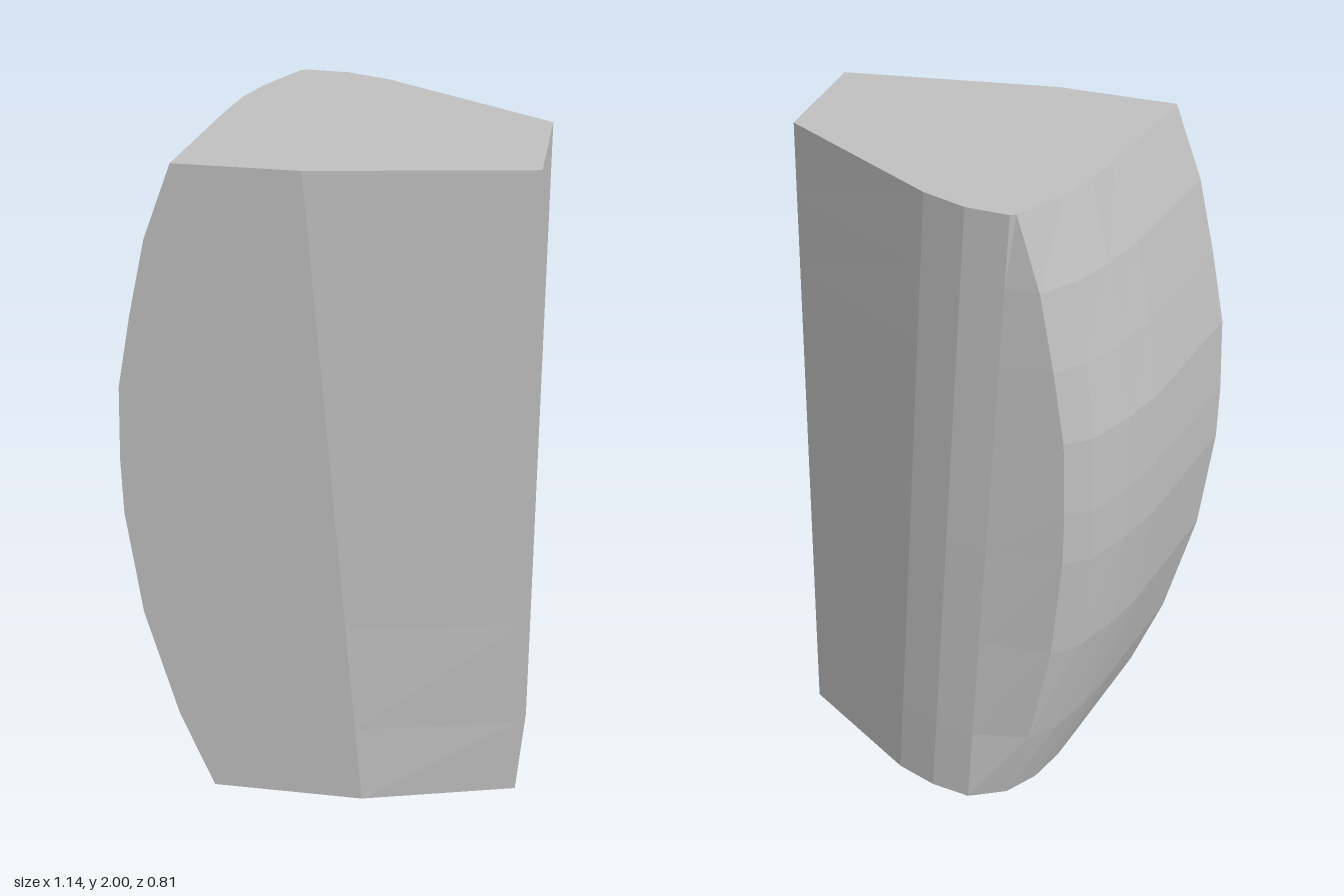
import * as THREE from 'three';

// Cross-sections as [x, z], running front-left corner -> back -> right -> front crease
const bottom = [[-0.33, 0.405], [-0.27, 0], [-0.25, -0.13], [-0.215, -0.25], [-0.155, -0.345],
  [-0.05, -0.405], [0.07, -0.39], [0.195, -0.345], [0.57, -0.108], [0.57, 0.28], [0.12, 0.405]];
const top = [[-0.395, 0.405], [-0.335, 0], [-0.31, -0.13], [-0.27, -0.24], [-0.19, -0.385],
  [-0.175, -0.395], [-0.05, -0.39], [0.08, -0.345], [0.57, -0.065], [0.57, 0.3], [-0.045, 0.405]];
// The bulging left side at its fullest
const bulge = [[-0.572, 0.405], [-0.505, -0.05], [-0.46, -0.2], [-0.4, -0.335], [-0.335, -0.39]];
// Height and x of the curved front-left edge
const edge = [[0, -0.33], [0.25, -0.43], [0.6, -0.525], [0.93, -0.568], [1.1, -0.572],
  [1.33, -0.565], [1.55, -0.525], [1.78, -0.475], [2, -0.395]];

const mix = (a, b, t) => a + (b - a) * t;

function section([y, x]) {
  const t = y / 2;
  const end = y < 1.1 ? bottom : top;
  const swell = (x - end[0][0]) / (bulge[0][0] - end[0][0]);
  return bottom.map((p, i) => {
    if (i < bulge.length) {
      return [mix(end[i][0], bulge[i][0], swell), y, mix(end[i][1], bulge[i][1], swell)];
    }
    // the right front corner swells slightly at mid height
    const extra = i === 9 ? 0.06 * t * (1 - t) : 0;
    return [mix(p[0], top[i][0], t), y, mix(p[1], top[i][1], t) + extra];
  });
}

function geometryFrom(triangles) {
  const geometry = new THREE.BufferGeometry();
  geometry.setAttribute('position', new THREE.Float32BufferAttribute(triangles.flat(), 3));
  geometry.computeVertexNormals();
  return geometry;
}

export function createModel() {
  const stone = new THREE.MeshStandardMaterial({ color: 0xc0c0c0, flatShading: true });
  stone.name = 'light grey';
  const group = new THREE.Group();
  group.name = 'curvedBlock';
  const add = (name, triangles) => {
    const mesh = new THREE.Mesh(geometryFrom(triangles), stone);
    mesh.name = name;
    group.add(mesh);
  };

  const rings = edge.map(section);
  const n = bottom.length;

  // Walls between neighbouring sections
  const walls = [];
  for (let k = 0; k < rings.length - 1; k++) {
    for (let i = 0; i < n; i++) {
      const j = (i + 1) % n;
      const a = rings[k][i], b = rings[k][j], c = rings[k + 1][i], d = rings[k + 1][j];
      walls.push(b, a, c, b, c, d);
    }
  }
  add('walls', walls);

  // Flat ends
  const low = rings[0], high = rings[rings.length - 1];
  const base = [], cap = [];
  for (let i = 0; i < n; i++) {
    const j = (i + 1) % n;
    base.push([0, 0, 0], low[i], low[j]);
    cap.push([0, 2, 0], high[j], high[i]);
  }
  add('base', base);
  add('topFace', cap);
  return group;
}
